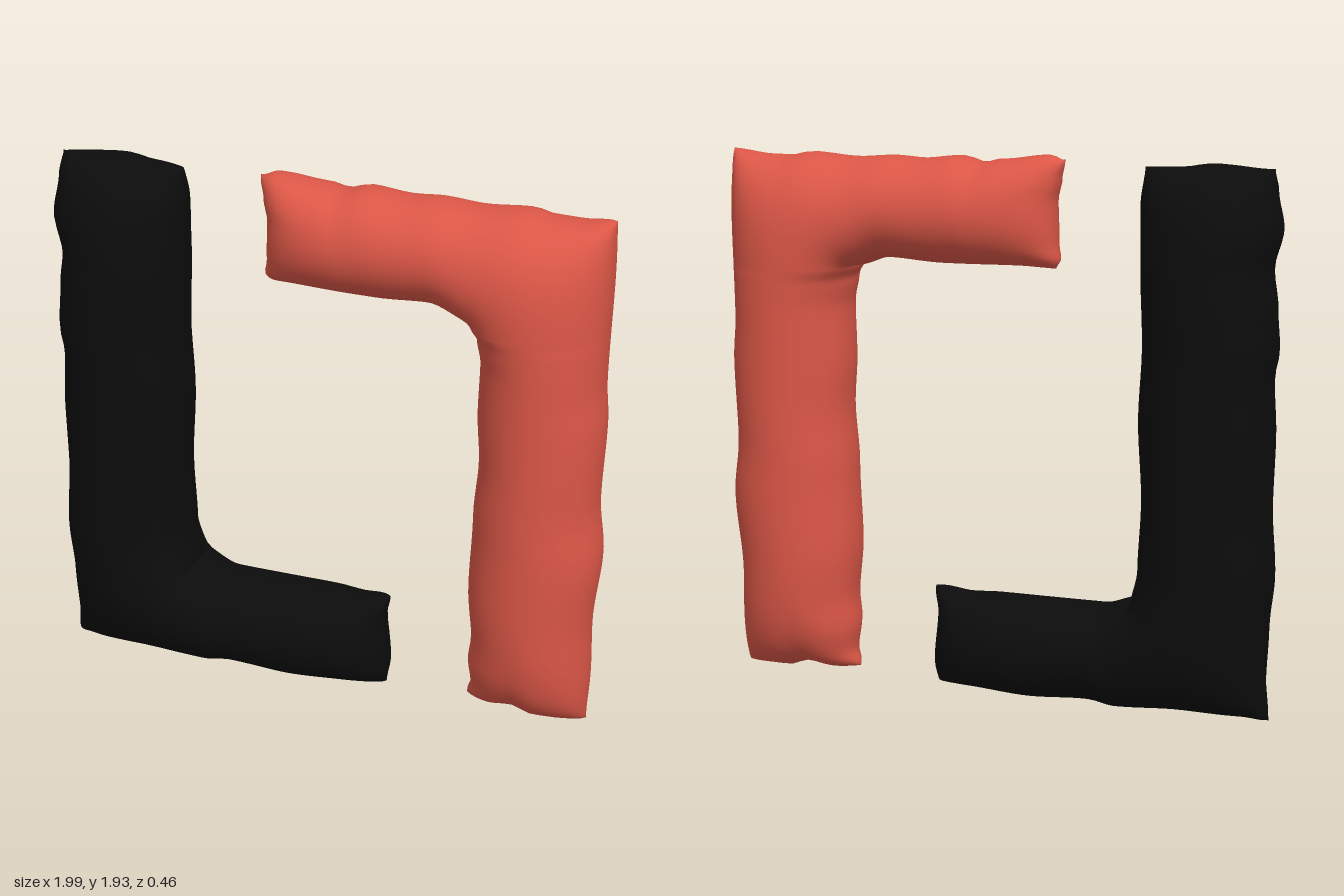
import * as THREE from 'three';

// Smooth interpolation through [position, value] pairs: the wavy edge lines
function edge(points) {
  return (p) => {
    if (p <= points[0][0]) return points[0][1];
    for (let i = 1; i < points.length; i++) {
      const [a, va] = points[i - 1], [b, vb] = points[i];
      if (p <= b) return va + (vb - va) * THREE.MathUtils.smoothstep(p, a, b);
    }
    return points[points.length - 1][1];
  };
}

// Grid lines through three stops, denser near each stop so the rims come out round
function gridLines(stops) {
  const lines = [];
  for (let s = 0; s < 2; s++) {
    const len = stops[s + 1] - stops[s];
    const n = len > 1 ? 56 : len > 0.6 ? 32 : 20;
    for (let i = 0; i < n; i++) {
      const t = i / n;
      const g = 0.85 * (1 - Math.cos(Math.PI * t)) / 2 + 0.15 * t;
      lines.push({ p: stops[s] + g * len, seg: s, t: g });
    }
  }
  lines.push({ p: stops[2], seg: 1, t: 1 });
  return lines;
}

// Inflated L: a membrane blown up over the L outline, then bent to the wavy edges.
// The missing quadrant is the one in segment `gap` of both directions.
function inflatedL({ xStops, yStops, gap, xEdges, yEdges }) {
  const X = gridLines(xStops), Y = gridLines(yStops);
  const nx = X.length, ny = Y.length;
  const xe = xEdges.map(edge), ye = yEdges.map(edge);
  const cell = (i, j) => i >= 0 && j >= 0 && i < nx - 1 && j < ny - 1 &&
    !(X[i].seg === gap && Y[j].seg === gap);
  const id = (i, j) => j * nx + i;

  // Membrane height squared
  const u = new Float64Array(nx * ny);
  const inner = [];
  for (let j = 1; j < ny - 1; j++) {
    for (let i = 1; i < nx - 1; i++) {
      if (!(cell(i, j) && cell(i - 1, j) && cell(i, j - 1) && cell(i - 1, j - 1))) continue;
      const l = X[i].p - X[i - 1].p, r = X[i + 1].p - X[i].p;
      const d = Y[j].p - Y[j - 1].p, t = Y[j + 1].p - Y[j].p;
      const w = [2 / (l * (l + r)), 2 / (r * (l + r)), 2 / (d * (d + t)), 2 / (t * (d + t))];
      inner.push({ k: id(i, j), w, sum: w[0] + w[1] + w[2] + w[3] });
    }
  }
  for (let pass = 0; pass < 2500; pass++) {
    for (const { k, w, sum } of inner) {
      const v = (2 + w[0] * u[k - 1] + w[1] * u[k + 1] + w[2] * u[k - nx] + w[3] * u[k + nx]) / sum;
      u[k] += 1.8 * (v - u[k]);
    }
  }

  // Front and back share the rim vertices
  const pos = [], index = [], front = new Map(), back = new Map();
  const vertex = (i, j, side) => {
    const k = id(i, j), map = side > 0 || u[k] <= 0 ? front : back;
    if (!map.has(k)) {
      const a = X[i], b = Y[j];
      map.set(k, pos.length / 3);
      pos.push(
        THREE.MathUtils.lerp(xe[a.seg](b.p), xe[a.seg + 1](b.p), a.t),
        THREE.MathUtils.lerp(ye[b.seg](a.p), ye[b.seg + 1](a.p), b.t),
        side * Math.sqrt(Math.max(u[k], 0)));
    }
    return map.get(k);
  };
  for (let j = 0; j < ny - 1; j++) {
    for (let i = 0; i < nx - 1; i++) {
      if (!cell(i, j)) continue;
      for (const side of [1, -1]) {
        const a = vertex(i, j, side), b = vertex(i + 1, j, side);
        const c = vertex(i + 1, j + 1, side), d = vertex(i, j + 1, side);
        if (side > 0) index.push(a, b, c, a, c, d);
        else index.push(a, c, b, a, d, c);
      }
    }
  }
  const geo = new THREE.BufferGeometry();
  geo.setAttribute('position', new THREE.Float32BufferAttribute(pos, 3));
  geo.setIndex(index);
  geo.computeVertexNormals();
  return geo;
}

export function createModel() {
  const group = new THREE.Group();
  const black = new THREE.MeshStandardMaterial({ color: 0x0c0c0c });
  black.name = 'black';
  const red = new THREE.MeshStandardMaterial({ color: 0xdc5747 });
  red.name = 'coral red';

  // Black L: upright on the left, foot pointing to +x
  const blackBracket = new THREE.Mesh(inflatedL({
    xStops: [-0.98, -0.52, 0.235], yStops: [0.02, 0.375, 1.925], gap: 1,
    xEdges: [
      [[0.02, -0.99], [0.15, -0.975], [0.3, -0.98], [0.5, -0.995], [0.75, -0.98], [1, -0.985],
        [1.2, -0.975], [1.3, -0.99], [1.45, -0.98], [1.58, -0.965], [1.72, -0.995], [1.85, -0.975], [1.92, -0.965]],
      [[0.38, -0.5], [0.5, -0.52], [0.75, -0.53], [1.05, -0.515], [1.3, -0.525], [1.6, -0.515], [1.8, -0.51], [1.92, -0.52]],
      [[0.02, 0.225], [0.1, 0.235], [0.29, 0.22], [0.37, 0.235]],
    ],
    yEdges: [
      [[-0.98, 0.01], [-0.9, 0.02], [-0.7, 0.025], [-0.47, 0.01], [-0.37, 0.025], [-0.13, 0.01], [0.1, 0.02], [0.22, 0.02]],
      [[-0.52, 0.4], [-0.4, 0.37], [0, 0.37], [0.1, 0.365], [0.22, 0.38]],
      [[-0.97, 1.93], [-0.76, 1.94], [-0.65, 1.925], [-0.52, 1.92]],
    ],
  }), black);
  blackBracket.name = 'blackBracket';

  // Red L, turned upside down: upright on the right, arm pointing to -x
  const redBracket = new THREE.Mesh(inflatedL({
    xStops: [-0.225, 0.535, 0.975], yStops: [0.03, 1.55, 1.92], gap: 0,
    xEdges: [
      [[1.55, -0.21], [1.58, -0.225], [1.63, -0.215], [1.78, -0.21], [1.85, -0.225], [1.92, -0.24]],
      [[0.04, 0.53], [0.1, 0.545], [0.2, 0.535], [0.3, 0.545], [0.5, 0.53], [0.8, 0.54], [1.02, 0.555],
        [1.2, 0.545], [1.4, 0.55], [1.5, 0.535], [1.55, 0.515]],
      [[0.03, 0.97], [0.2, 0.975], [0.4, 0.97], [0.7, 0.995], [0.9, 0.975], [1.2, 0.985], [1.35, 0.975], [1.8, 0.985]],
    ],
    yEdges: [
      [[0.53, 0.04], [0.62, 0.035], [0.72, 0.05], [0.8, 0.025], [0.97, 0.02]],
      [[-0.22, 1.555], [-0.1, 1.56], [0.2, 1.555], [0.4, 1.565], [0.53, 1.53]],
      [[-0.22, 1.93], [-0.17, 1.945], [0, 1.925], [0.07, 1.91], [0.15, 1.93], [0.3, 1.915], [0.4, 1.92],
        [0.55, 1.91], [0.7, 1.92], [0.77, 1.905], [0.85, 1.905], [0.97, 1.92]],
    ],
  }), red);
  redBracket.name = 'redBracket';

  group.add(blackBracket, redBracket);
  return group;
}
